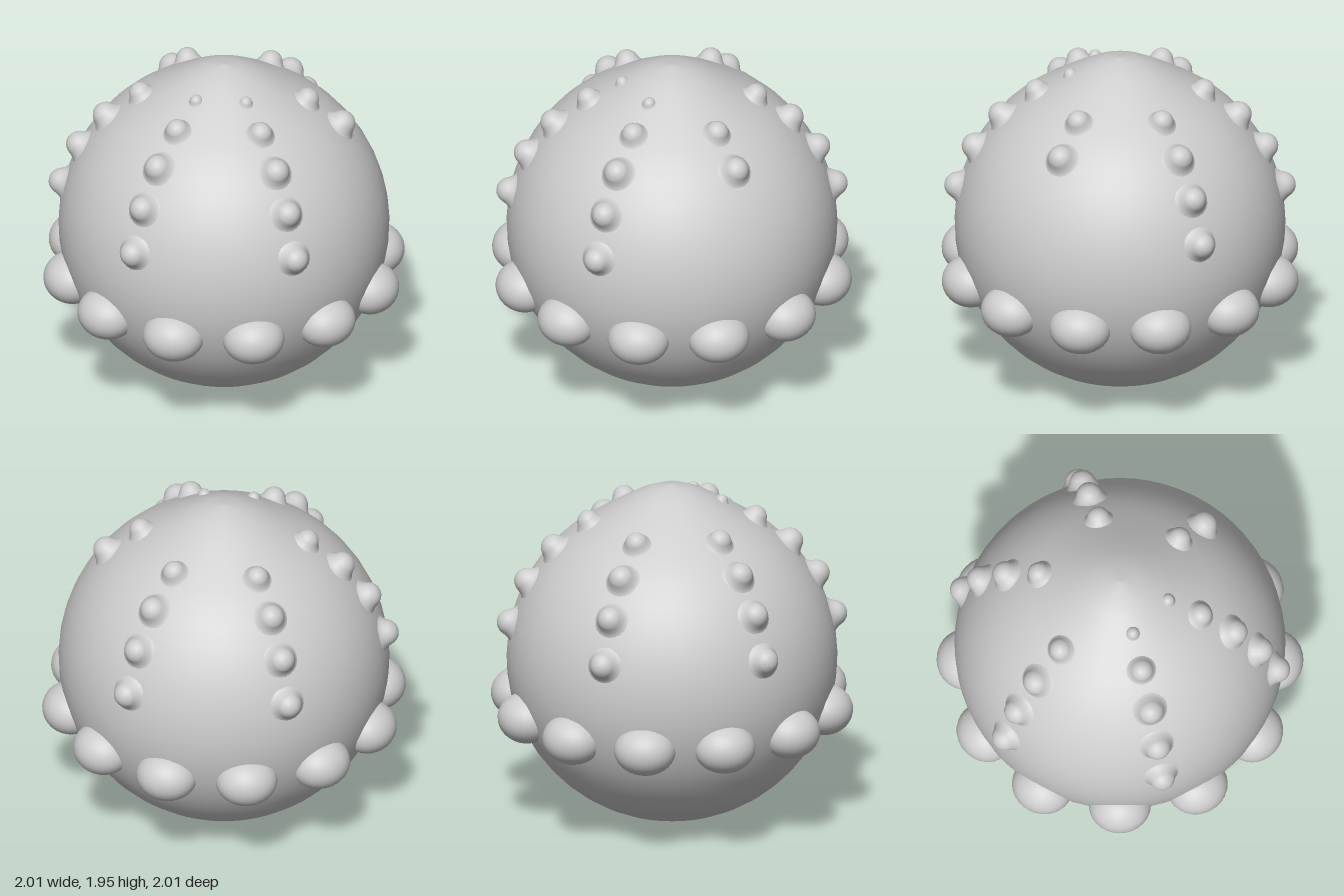
import * as THREE from 'three';

const CENTER_Y = 0.935;
const vectors = (pts) => pts.map(([x, y]) => new THREE.Vector2(x, y));

export function createModel() {
  const model = new THREE.Group();
  model.name = 'studdedBall';
  const grey = new THREE.MeshStandardMaterial({ color: 0xcccccc });
  grey.name = 'light grey';

  // Body: a sphere whose top rises into a soft crown
  const profile = [];
  for (let i = 0; i <= 21; i++) {
    const a = -Math.PI / 2 + (i / 21) * THREE.MathUtils.degToRad(147);
    profile.push([Math.max(0, 0.931 * Math.cos(a)), CENTER_Y + 0.931 * Math.sin(a)]);
  }
  profile.push([0.39, 1.79], [0.3, 1.845], [0.2, 1.902], [0.1, 1.943], [0, 1.957]);
  const body = new THREE.Mesh(new THREE.LatheGeometry(vectors(profile), 64), grey);
  body.name = 'body';
  model.add(body);

  // Lower ring of twelve large oval knobs
  const ring = new THREE.Group();
  ring.name = 'lowerKnobRing';
  const knobGeometry = new THREE.SphereGeometry(1, 28, 20);
  knobGeometry.scale(0.175, 0.142, 0.16);
  for (let i = 0; i < 12; i++) {
    const a = THREE.MathUtils.degToRad(15 + i * 30);
    const knob = new THREE.Mesh(knobGeometry, grey);
    knob.name = 'largeKnob';
    knob.position.set(0.872 * Math.cos(a), 0.67, 0.872 * Math.sin(a));
    knob.rotation.y = Math.PI / 2 - a;
    ring.add(knob);
  }
  model.add(ring);

  // Small studs with a flared foot, in six rows climbing towards the crown
  const studCurve = new THREE.SplineCurve(vectors([
    [0.12, -0.018], [0.092, 0.001], [0.074, 0.028], [0.06, 0.056], [0.032, 0.08], [0, 0.087],
  ]));
  const studGeometry = new THREE.LatheGeometry(studCurve.getPoints(14), 20);
  const elevations = [14, 30, 45, 60, 73];
  const up = new THREE.Vector3(0, 1, 0);
  // [azimuth, first stud, last stud]
  const rows = [[0, 2, 3], [60, 0, 4], [120, 0, 4], [180, 0, 3], [240, 0, 3], [300, 0, 3]];
  for (const [azimuth, first, last] of rows) {
    const row = new THREE.Group();
    row.name = 'studRow';
    const a = THREE.MathUtils.degToRad(azimuth);
    for (let i = first; i <= last; i++) {
      const e = THREE.MathUtils.degToRad(elevations[i]);
      const dir = new THREE.Vector3(Math.cos(e) * Math.cos(a), Math.sin(e), Math.cos(e) * Math.sin(a));
      const stud = new THREE.Mesh(studGeometry, grey);
      stud.name = 'stud';
      stud.position.copy(dir).multiplyScalar(i === 4 ? 0.95 : 0.93);
      stud.position.y += CENTER_Y;
      stud.quaternion.setFromUnitVectors(up, dir);
      stud.scale.setScalar([1, 1, 1, 0.88, 0.5][i]);
      row.add(stud);
    }
    model.add(row);
  }
  return model;
}
